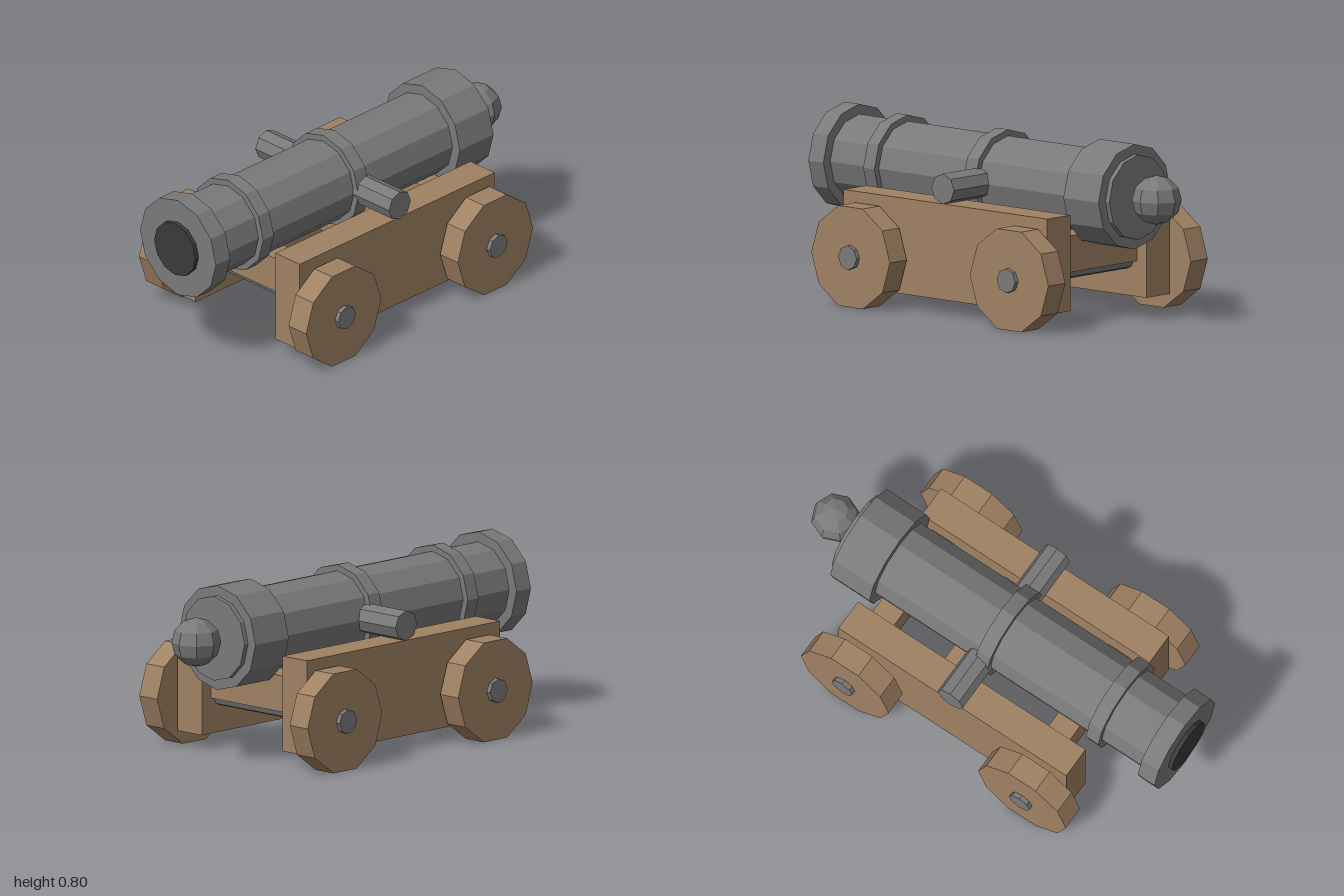
import * as THREE from 'three';

export function createModel() {
  const group = new THREE.Group();
  const mat = (name, color) => {
    const m = new THREE.MeshStandardMaterial({ color, flatShading: true });
    m.name = name;
    return m;
  };
  const wood = mat('wood', 0xa08163);
  const iron = mat('iron', 0x7a7a7a);
  const dark = mat('boreBlack', 0x3a3a3a);

  const add = (name, geometry, material, x, y, z) => {
    const mesh = new THREE.Mesh(geometry, material);
    mesh.name = name;
    mesh.position.set(x, y, z);
    group.add(mesh);
    return mesh;
  };
  // Cylinder lying along x
  const rod = (radius, length, sides) =>
    new THREE.CylinderGeometry(radius, radius, length, sides).rotateZ(Math.PI / 2);

  const AXIS_Y = 0.57, AXLE_Y = 0.228;

  // Barrel: twelve-sided turned profile [radius, z] from breech to muzzle
  const profile = [
    [0, -0.78], [0.19, -0.78], [0.19, -0.757], [0.235, -0.757], [0.235, -0.547], [0.19, -0.547],
    [0.19, 0], [0.218, 0], [0.218, 0.07], [0.19, 0.07],
    [0.19, 0.6], [0.218, 0.6], [0.218, 0.667], [0.19, 0.667],
    [0.19, 0.89], [0.235, 0.89], [0.235, 0.98], [0, 0.98],
  ].map(([r, z]) => new THREE.Vector2(r, z));
  add('barrel', new THREE.LatheGeometry(profile, 12).rotateX(Math.PI / 2), iron, 0, AXIS_Y, 0);

  // Muzzle opening, breech knob and trunnion bar
  add('bore', new THREE.CylinderGeometry(0.128, 0.128, 0.04, 12).rotateX(Math.PI / 2), dark, 0, AXIS_Y, 0.98);
  add('breechKnob', new THREE.SphereGeometry(0.11, 8, 6), iron, 0, AXIS_Y, -0.89);
  add('trunnion', rod(0.068, 0.83, 8), iron, 0, AXIS_Y, 0.01);

  // Carriage side rails
  for (const side of [-1, 1]) {
    add(side > 0 ? 'leftRail' : 'rightRail', new THREE.BoxGeometry(0.15, 0.428, 1.22), wood, side * 0.323, 0.286, 0.01);
  }

  // Cross beams between the rails
  for (const [name, z] of [['frontBeam', 0.458], ['middleBeam', -0.098], ['rearBeam', -0.485]]) {
    add(name, new THREE.BoxGeometry(0.5, 0.163, 0.115), wood, 0, 0.3125, z);
  }

  // Axles, thicker stubs outside the rails, and wheels
  for (const [end, z] of [['front', 0.466], ['rear', -0.483]]) {
    add(end + 'Axle', rod(0.039, 0.6, 8), iron, 0, AXLE_Y + 0.002, z);
    for (const side of [-1, 1]) {
      const label = end + (side > 0 ? 'Left' : 'Right');
      add(label + 'AxleStub', rod(0.055, 0.19, 8), iron, side * 0.445, AXLE_Y, z);
      add(label + 'Wheel', rod(0.235, 0.11, 10), wood, side * 0.464, AXLE_Y, z);
    }
  }
  return group;
}
